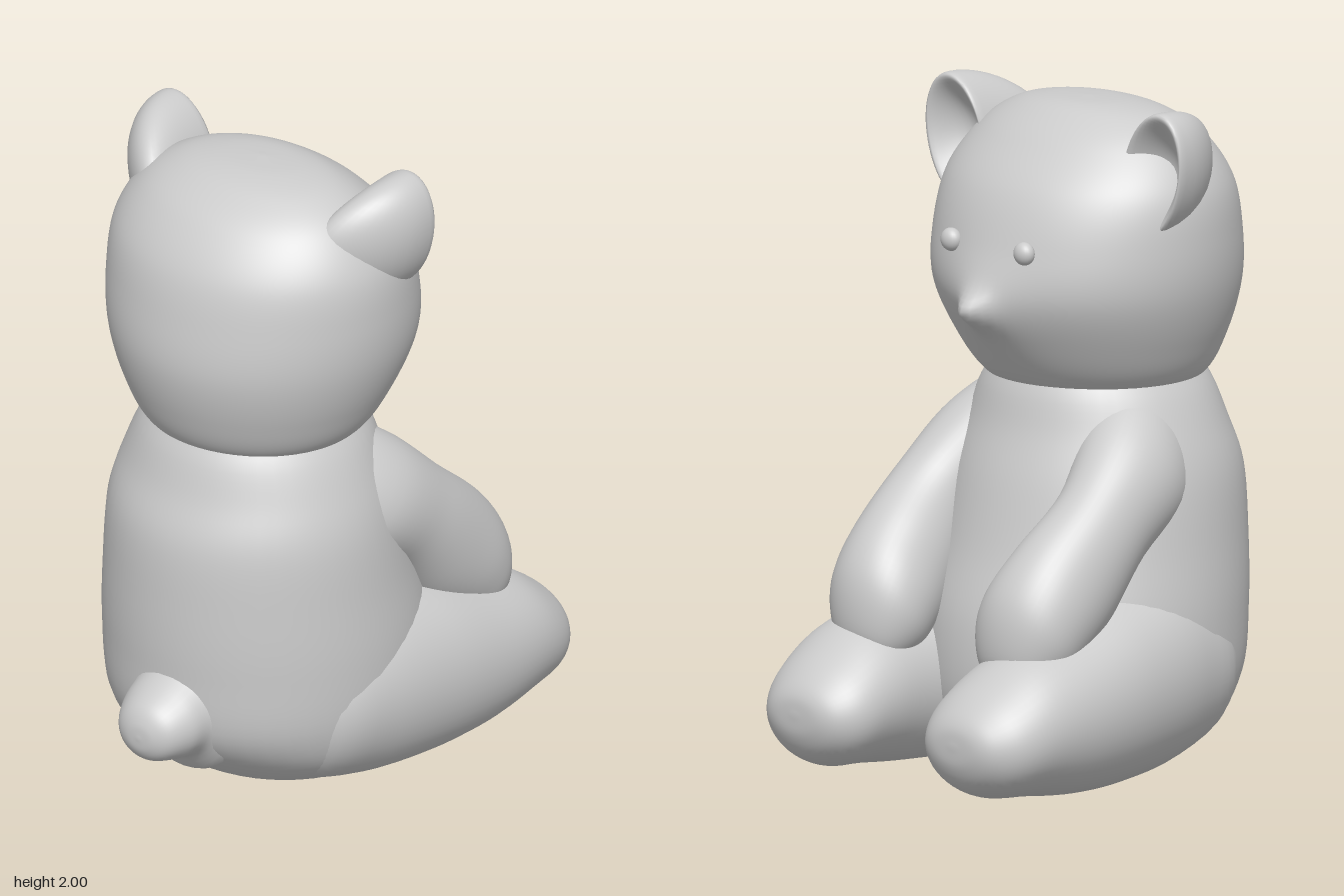
import * as THREE from 'three';
import { mergeVertices } from 'three/addons/utils/BufferGeometryUtils.js';

const grey = new THREE.MeshStandardMaterial({ color: 0xcccccc });
const X = new THREE.Vector3(1, 0, 0);
const Y = new THREE.Vector3(0, 1, 0);
const Z = new THREE.Vector3(0, 0, 1);

// Smooth closed loft through ellipses [cx, cy, cz, radiusU, radiusV]; u cross v points along the path.
function loft(sections, u, v, rows = 48, cols = 48, adjust = null) {
  const centres = new THREE.CatmullRomCurve3(sections.map(s => new THREE.Vector3(s[0], s[1], s[2])), false, 'catmullrom', 0.5);
  const radii = new THREE.CatmullRomCurve3(sections.map(s => new THREE.Vector3(s[3], s[4], 0)), false, 'catmullrom', 0.5);
  const positions = [], index = [];
  for (let i = 0; i <= rows; i++) {
    const c = centres.getPoint(i / rows), r = radii.getPoint(i / rows);
    for (let j = 0; j < cols; j++) {
      const a = (j / cols) * Math.PI * 2;
      const p = c.clone()
        .addScaledVector(u, Math.max(0, r.x) * Math.cos(a))
        .addScaledVector(v, Math.max(0, r.y) * Math.sin(a));
      if (adjust) adjust(p);
      positions.push(p.x, p.y, p.z);
      if (i < rows) {
        const k = (j + 1) % cols, A = i * cols, B = A + cols;
        index.push(A + j, A + k, B + k, A + j, B + k, B + j);
      }
    }
  }
  const raw = new THREE.BufferGeometry();
  raw.setAttribute('position', new THREE.Float32BufferAttribute(positions, 3));
  raw.setIndex(index);
  const geometry = mergeVertices(raw, 1e-5);
  geometry.computeVertexNormals();
  return geometry;
}

// Cupped ear: hollow front with a rounded lip, back sweeping down and inwards onto the head.
function earGeometry(side) {
  const sphere = new THREE.SphereGeometry(1, 40, 32);
  sphere.deleteAttribute('uv');
  sphere.deleteAttribute('normal');
  const geometry = mergeVertices(sphere, 1e-5);
  const pos = geometry.attributes.position;
  for (let i = 0; i < pos.count; i++) {
    const x = pos.getX(i), y = pos.getY(i), z = pos.getZ(i);
    const sweep = x < 0 ? x * x : 0;
    pos.setXYZ(i,
      x > 0 ? 0.15 * x - 0.22 * x * x : 0.27 * x,
      0.19 * y - 0.03 * sweep,
      0.115 * z - side * 0.09 * sweep);
  }
  geometry.computeVertexNormals();
  return geometry;
}

export function createModel() {
  const model = new THREE.Group();
  model.name = 'sittingBear';
  const add = (name, geometry, x = 0, y = 0, z = 0) => {
    const mesh = new THREE.Mesh(geometry, grey);
    mesh.name = name;
    mesh.position.set(x, y, z);
    model.add(mesh);
    return mesh;
  };

  // Pear-shaped body
  add('body', loft([
    [0.03, 0.005, 0, 0, 0],
    [0.01, 0.015, 0, 0.12, 0.13],
    [-0.04, 0.06, 0, 0.28, 0.28],
    [-0.09, 0.16, 0, 0.41, 0.39],
    [-0.125, 0.3, 0, 0.45, 0.47],
    [-0.14, 0.5, 0, 0.46, 0.475],
    [-0.17, 0.7, 0, 0.445, 0.445],
    [-0.19, 0.9, 0, 0.425, 0.41],
    [-0.19, 1.04, 0, 0.385, 0.36],
    [-0.185, 1.17, 0, 0.325, 0.315],
    [-0.18, 1.23, 0, 0.25, 0.25],
    [-0.18, 1.25, 0, 0, 0],
  ], Z, X, 66));

  // Head, with a small nose drawn out of the face
  add('head', loft([
    [-0.18, 1.1, 0, 0, 0],
    [-0.18, 1.12, 0, 0.2, 0.2],
    [-0.18, 1.18, 0, 0.325, 0.31],
    [-0.165, 1.3, 0, 0.398, 0.385],
    [-0.148, 1.45, 0, 0.45, 0.435],
    [-0.15, 1.6, 0, 0.463, 0.42],
    [-0.16, 1.75, 0, 0.445, 0.37],
    [-0.17, 1.87, 0, 0.37, 0.275],
    [-0.165, 1.94, 0, 0.27, 0.18],
    [-0.155, 1.97, 0, 0.15, 0.1],
    [-0.15, 1.978, 0, 0, 0],
  ], Z, X, 100, 120, p => {
    if (p.x > 0) {
      const d2 = (p.y - 1.412) ** 2 + p.z ** 2;
      p.x += 0.06 * Math.exp(-d2 / 0.0028) + 0.035 * Math.exp(-d2 / 0.016);
    }
  }));

  const armUp = new THREE.Vector3(0.68, 0.73, 0).normalize();
  for (const s of [1, -1]) {
    // Leg growing out of the hip and ending in a blunt foot
    add('leg', loft([
      [-0.47, 0.34, s * 0.14, 0, 0],
      [-0.35, 0.34, s * 0.2, 0.2, 0.2],
      [-0.15, 0.35, s * 0.255, 0.28, 0.235],
      [0.1, 0.325, s * 0.308, 0.275, 0.228],
      [0.32, 0.295, s * 0.335, 0.24, 0.215],
      [0.5, 0.28, s * 0.33, 0.205, 0.213],
      [0.62, 0.25, s * 0.32, 0.163, 0.195],
      [0.69, 0.24, s * 0.315, 0.115, 0.15],
      [0.725, 0.245, s * 0.315, 0.06, 0.09],
      [0.733, 0.25, s * 0.315, 0, 0],
    ], Y, Z));

    // Arm sloping from a broad shoulder to a paw resting on the leg
    add('arm', loft([
      [-0.27, 1.14, s * 0.12, 0, 0],
      [-0.2, 1.08, s * 0.185, 0.14, 0.12],
      [-0.07, 0.95, s * 0.265, 0.19, 0.165],
      [0.12, 0.81, s * 0.32, 0.16, 0.135],
      [0.27, 0.66, s * 0.312, 0.18, 0.153],
      [0.37, 0.56, s * 0.298, 0.17, 0.165],
      [0.43, 0.48, s * 0.29, 0.14, 0.15],
      [0.48, 0.41, s * 0.285, 0.07, 0.09],
      [0.49, 0.39, s * 0.285, 0, 0],
    ], armUp, Z));

    // Ear leaning outwards
    add('ear', earGeometry(s), -0.03, 1.815, s * 0.39).rotation.x = s * 0.24;

    // Bead eye
    add('eye', new THREE.SphereGeometry(0.034, 24, 16), 0.262, 1.595, s * 0.145).scale.x = 0.8;
  }

  // Stubby tail flaring into the back
  add('tail', loft([
    [-0.44, 0.36, 0, 0, 0],
    [-0.5, 0.36, 0, 0.19, 0.2],
    [-0.58, 0.365, 0, 0.145, 0.145],
    [-0.65, 0.355, 0, 0.128, 0.115],
    [-0.71, 0.345, 0, 0.095, 0.085],
    [-0.738, 0.34, 0, 0.05, 0.045],
    [-0.745, 0.34, 0, 0, 0],
  ], Z, Y, 36, 36));

  return model;
}
